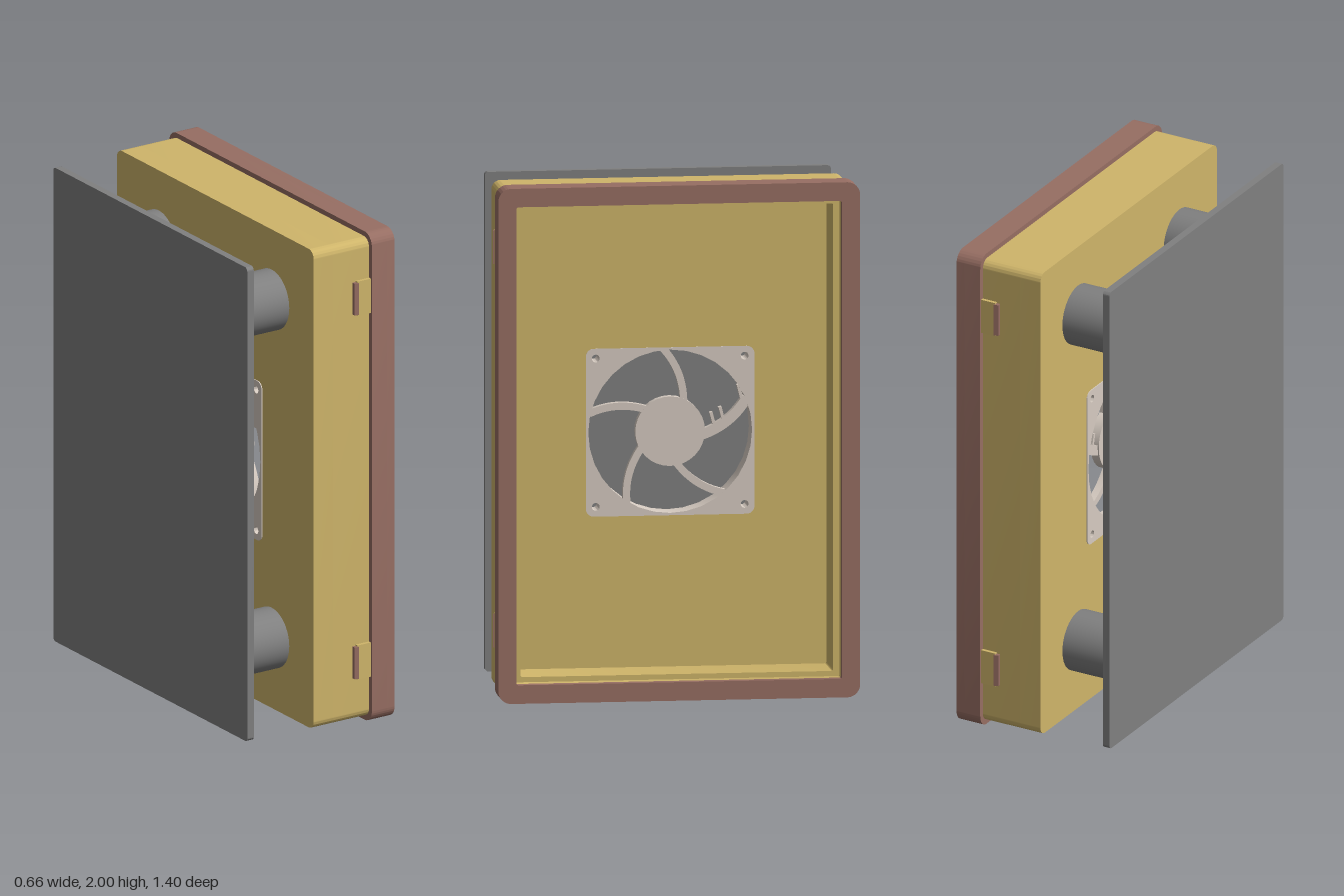
import * as THREE from 'three';
import { toCreasedNormals } from 'three/addons/utils/BufferGeometryUtils.js';

const mat = (color) => new THREE.MeshStandardMaterial({ color });
const yellow = mat(0xcfb56a), brown = mat(0x976e63), grey = mat(0x808080), beige = mat(0xd6cbc1);
const FAN_Y = 1.005;

// Rounded rectangle by half sizes, in the side plane (u = -z, v = y)
function roundRect(w, h, r, cy = 1, Type = THREE.Shape) {
  const s = new Type();
  s.moveTo(w, cy - h + r);
  s.absarc(w - r, cy + h - r, r, 0, Math.PI / 2);
  s.absarc(-w + r, cy + h - r, r, Math.PI / 2, Math.PI);
  s.absarc(-w + r, cy - h + r, r, Math.PI, Math.PI * 1.5);
  s.absarc(w - r, cy - h + r, r, Math.PI * 1.5, Math.PI * 2);
  s.closePath();
  return s;
}
const rectHole = (w, h, r, cy = 1) => roundRect(w, h, r, cy, THREE.Path);
function circle(u, v, r, Type = THREE.Path) {
  const c = new Type();
  c.absarc(u, v, r, 0, Math.PI * 2);
  return c;
}

// Extrude a side-plane shape between two x positions
function slab(name, shape, x0, x1, material, holes = []) {
  shape.holes.push(...holes);
  const g = new THREE.ExtrudeGeometry(shape, { depth: x1 - x0, bevelEnabled: false, curveSegments: 16 });
  g.rotateY(Math.PI / 2).translate(x0, 0, 0);
  const m = new THREE.Mesh(toCreasedNormals(g, 0.5), material);
  m.name = name;
  return m;
}

function box(name, x0, x1, y0, y1, z0, z1, material) {
  const m = new THREE.Mesh(new THREE.BoxGeometry(x1 - x0, y1 - y0, z1 - z0), material);
  m.position.set((x0 + x1) / 2, (y0 + y1) / 2, (z0 + z1) / 2);
  m.name = name;
  return m;
}

// Curved bar in the fan plane, swept between two angles from hub to rim
function strutShape(a0, width) {
  const at = (r, a) => new THREE.Vector2(r * Math.cos(a), r * Math.sin(a));
  const curve = new THREE.QuadraticBezierCurve(
    at(0.125, a0), at(0.24, a0 + 0.22), at(0.322, a0 + 0.52));
  const left = [], right = [];
  for (let i = 0; i <= 10; i++) {
    const p = curve.getPoint(i / 10), t = curve.getTangent(i / 10);
    const n = new THREE.Vector2(-t.y, t.x).multiplyScalar(width / 2);
    left.push(p.clone().add(n));
    right.push(p.clone().sub(n));
  }
  const pts = [...right, ...left.reverse()].map((p) => new THREE.Vector2(p.x, p.y + FAN_Y));
  return new THREE.Shape(pts);
}

function createFan() {
  const fan = new THREE.Group();
  fan.name = 'fan';
  // Square housing with the round opening and screw holes
  const holes = [circle(0, FAN_Y, 0.317)];
  for (const u of [-1, 1]) for (const v of [-1, 1]) holes.push(circle(u * 0.288, FAN_Y + v * 0.288, 0.015));
  fan.add(slab('fanHousing', roundRect(0.326, 0.326, 0.03, FAN_Y), -0.034, 0.061, beige, holes));
  // Hub and five curved struts
  fan.add(slab('fanHub', circle(0, FAN_Y, 0.135, THREE.Shape), 0.025, 0.06, beige));
  for (let k = 0; k < 5; k++) {
    const a = (65 + 72 * k) * Math.PI / 180;
    fan.add(slab('fanStrut', strutShape(a, k === 4 ? 0.04 : 0.028), 0.03, 0.059, beige));
  }
  // Small cable hooks along the widest strut
  for (const [u, v] of [[0.165, 0.045], [0.2, 0.065], [0.27, 0.15], [0.3, 0.185]]) {
    const hook = box('cableHook', 0.03, 0.059, -0.026, 0.026, -0.006, 0.006, beige);
    hook.position.set(0.0445, FAN_Y + v, -u);
    hook.rotation.x = 0.25;
    fan.add(hook);
  }
  return fan;
}

// Side clip: a flat tab ending in a wedge hook
function createClip(y, side) {
  const clip = new THREE.Group();
  clip.name = 'clip';
  clip.add(box('clipTab', 0.163, 0.226, y - 0.07, y + 0.07, 0.675, 0.694, yellow));
  const wedge = new THREE.Shape([[0.148, -0.678], [0.166, -0.678], [0.166, -0.699], [0.148, -0.695]]
    .map(([a, b]) => new THREE.Vector2(a, b)));
  const g = new THREE.ExtrudeGeometry(wedge, { depth: 0.13, bevelEnabled: false });
  g.rotateX(-Math.PI / 2).translate(0, y - 0.065, 0);
  const hook = new THREE.Mesh(g, brown);
  hook.name = 'clipHook';
  clip.add(hook);
  // Turn about the vertical centre of the clip so the other side matches
  if (side < 0) {
    clip.rotation.x = Math.PI;
    clip.position.y = 2 * y;
  }
  return clip;
}

export function createModel() {
  const model = new THREE.Group();
  model.name = 'fanEnclosure';

  // Mounting plate and its four round spacers
  model.add(slab('mountingPlate', roundRect(0.67, 0.97, 0.015), -0.33, -0.3, grey));
  for (const y of [0.31, 1.695]) for (const z of [-0.39, 0.39]) {
    const post = new THREE.Mesh(new THREE.CylinderGeometry(0.121, 0.121, 0.27, 48), grey);
    post.rotation.z = Math.PI / 2;
    post.position.set(-0.165, y, z);
    post.name = 'spacer';
    model.add(post);
  }

  // Open tray: floor, walls and a stepped lip
  const outer = () => roundRect(0.68, 0.98, 0.035);
  model.add(slab('trayFloor', outer(), -0.03, 0.06, yellow, [rectHole(0.326, 0.326, 0.03, FAN_Y)]));
  model.add(slab('trayWalls', outer(), 0.06, 0.255, yellow, [rectHole(0.605, 0.908, 0.008)]));
  model.add(slab('trayLip', outer(), 0.255, 0.295, yellow, [rectHole(0.63, 0.928, 0.008)]));

  // Cover frame: skirt around the lip and a front rim
  const cover = () => roundRect(0.7, 1, 0.05);
  model.add(slab('coverSkirt', cover(), 0.225, 0.295, brown, [rectHole(0.68, 0.98, 0.035)]));
  model.add(slab('coverRim', cover(), 0.295, 0.33, brown, [rectHole(0.63, 0.928, 0.008)]));

  for (const y of [0.26, 1.75]) for (const side of [-1, 1]) model.add(createClip(y, side));
  model.add(createFan());
  return model;
}
